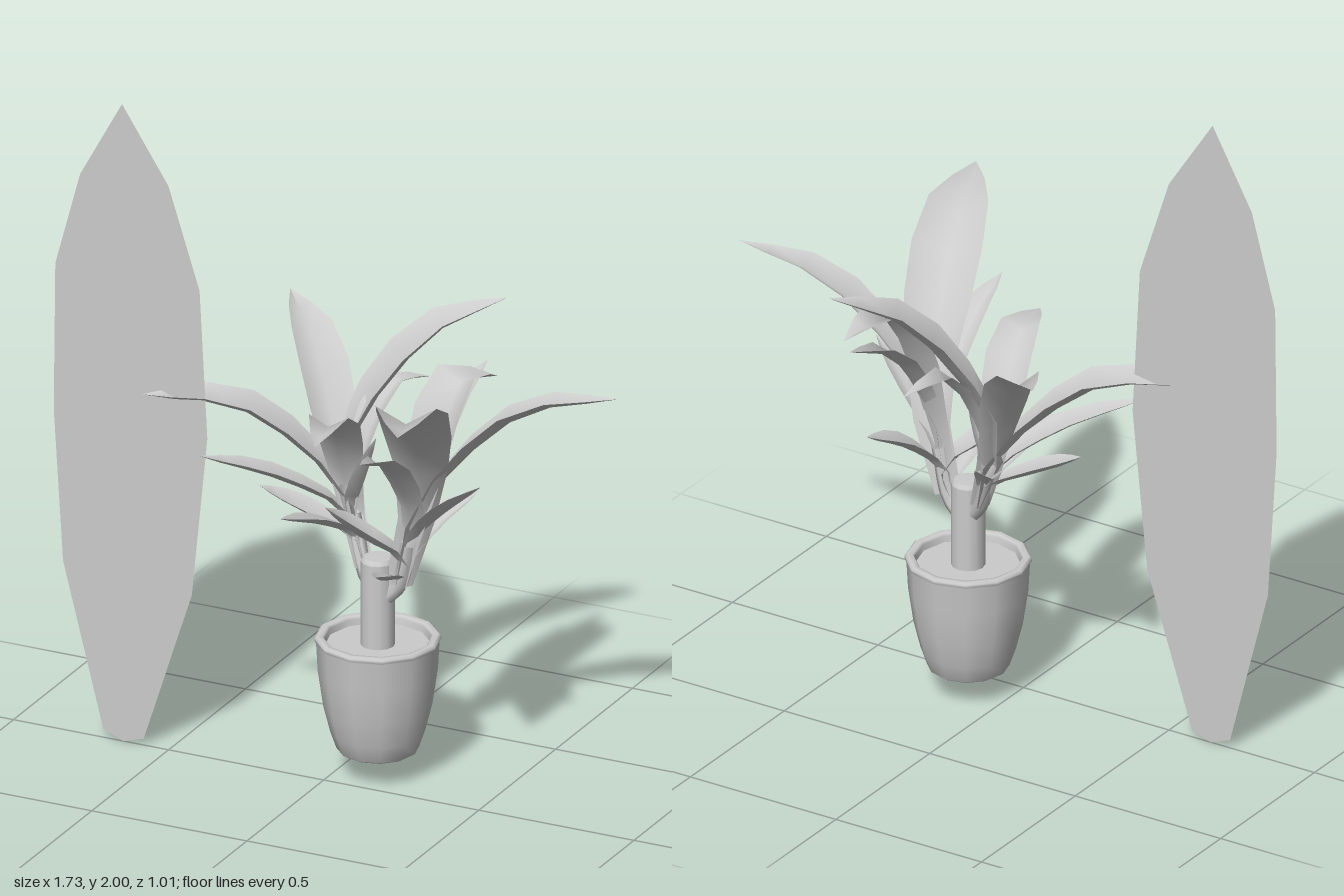
import * as THREE from 'three';

const V = (x, y, z) => new THREE.Vector3(x, y, z);
const solid = new THREE.MeshStandardMaterial({ color: 0xcccccc });
const thin = new THREE.MeshStandardMaterial({ color: 0xcccccc, side: THREE.DoubleSide });
const CX = 0.123, CZ = -0.104;

function add(parent, name, geometry, material = solid) {
  const mesh = new THREE.Mesh(geometry, material);
  mesh.name = name;
  parent.add(mesh);
  return mesh;
}

// Half-width of a leaf along its length, as [position, share of full width]
const OUTLINE = [[0, 0.38], [0.2, 0.52], [0.38, 0.74], [0.52, 0.94], [0.66, 1], [0.8, 0.84], [0.91, 0.46], [1, 0.01]];

// Arched blade: V-shaped cross-sections swept along a curve
function leafGeometry(base, crown, tip, width, lift) {
  const k = THREE.MathUtils.clamp((tip.y - 0.68) * 1.25, 0.06, 0.85);
  const hub = base.clone().lerp(crown, k);
  const mid = hub.clone().lerp(tip, 0.5);
  mid.y = hub.y + (tip.y - hub.y) * lift;
  const curve = new THREE.CatmullRomCurve3([base, hub, mid, tip]);
  const side = V(tip.z - hub.z, 0, hub.x - tip.x).normalize();
  const pos = [], index = [];
  OUTLINE.forEach(([t, w], i) => {
    const p = curve.getPointAt(t);
    const normal = curve.getTangentAt(t).cross(side).normalize();
    if (normal.y < 0) normal.negate();
    const half = w * width / 2;
    for (const s of [-1, 0, 1]) {
      const q = p.clone().addScaledVector(side, s * half)
        .addScaledVector(normal, s === 0 ? -half * 0.4 : half * 0.15);
      pos.push(q.x, q.y, q.z);
    }
    if (i === 0) return;
    for (let j = 0; j < 2; j++) {
      const a = (i - 1) * 3 + j, b = a + 3;
      index.push(a, b, a + 1, a + 1, b, b + 1);
    }
  });
  const g = new THREE.BufferGeometry();
  g.setAttribute('position', new THREE.Float32BufferAttribute(pos, 3));
  g.setIndex(index);
  g.computeVertexNormals();
  return g;
}

// A side shoot with its crown of leaves; leaves are [x, y, z, width, lift]
function shoot(name, base, crown, leaves) {
  const group = new THREE.Group();
  group.name = name;
  const root = V((base.x + CX) / 2, base.y - 0.04, (base.z + CZ) / 2);
  const stem = new THREE.CatmullRomCurve3([root, base, base.clone().lerp(crown, 0.4)]);
  add(group, 'stem', new THREE.TubeGeometry(stem, 6, 0.024, 6));
  for (const [x, y, z, width, lift = 0.78] of leaves)
    add(group, 'leaf', leafGeometry(base, crown, V(x, y, z), width, lift), thin);
  return group;
}

export function createModel() {
  const model = new THREE.Group();
  model.name = 'pottedPlant';

  // Flat upright leaf-shaped panel beside the plant
  const outline = [[-0.65, 2], [-0.785, 1.755], [-0.865, 1.46], [-0.87, 1], [-0.84, 0.53], [-0.71, 0.025],
    [-0.645, 0], [-0.58, 0.02], [-0.425, 0.5], [-0.375, 1], [-0.4, 1.46], [-0.5, 1.77]];
  add(model, 'flatPanel', new THREE.ShapeGeometry(new THREE.Shape(outline.map(p => new THREE.Vector2(...p)))), thin);

  // Pot with a rolled rim and a hollow top
  const profile = [[0, 0.08], [0.108, 0.08], [0.12, 0.088], [0.138, 0.14], [0.158, 0.22], [0.174, 0.33], [0.179, 0.42],
    [0.184, 0.425], [0.184, 0.434], [0.176, 0.44], [0.16, 0.438], [0.155, 0.43], [0.15, 0.39]];
  const pot = add(model, 'pot', new THREE.LatheGeometry(profile.map(p => new THREE.Vector2(...p)), 12));
  pot.position.set(CX, 0, CZ);

  const soil = add(model, 'soil', new THREE.CircleGeometry(0.155, 12));
  soil.rotation.x = -Math.PI / 2;
  soil.position.set(CX, 0.412, CZ);

  // Cut-off trunk with a softened top edge
  const trunkProfile = [[0.05, 0.4], [0.05, 0.672], [0.049, 0.674], [0.043, 0.685], [0.041, 0.686], [0, 0.686]];
  const trunk = add(model, 'trunk', new THREE.LatheGeometry(trunkProfile.map(p => new THREE.Vector2(...p)), 12));
  trunk.position.set(CX, 0, CZ);

  // Two leafy shoots
  model.add(shoot('rightShoot', V(0.065, 0.63, -0.13), V(-0.07, 0.99, -0.225), [
    [0.34, 1.385, -0.51, 0.17, 0.82],
    [-0.36, 1.28, -0.51, 0.15, 0.82],
    [-0.565, 1.12, 0.04, 0.15, 0.96],
    [-0.35, 0.99, 0.1, 0.1, 0.7],
    [0.065, 1.13, 0.19, 0.14, 1.05],
    [-0.25, 0.85, -0.08, 0.1, 0.6],
    [0.11, 1.11, -0.47, 0.1, 1.1],
    [0.09, 1.03, -0.16, 0.09, 0.6],
    [-0.07, 0.86, 0.14, 0.08, 0.7],
    [-0.1, 0.84, -0.32, 0.08, 0.75],
  ]));
  model.add(shoot('leftShoot', V(0.195, 0.61, -0.095), V(0.29, 0.97, -0.07), [
    [0.86, 1.29, -0.18, 0.125, 0.84],
    [0.485, 1.358, 0.5, 0.21, 0.9],
    [0.365, 1.19, -0.39, 0.18, 1.14],
    [0.5, 1.01, -0.01, 0.09, 0.62],
    [0.26, 1.15, 0.29, 0.1, 0.8],
    [0.03, 0.88, 0.05, 0.12, 0.55],
    [0.22, 0.72, 0.11, 0.07, 0.6],
    [0.34, 0.85, -0.31, 0.1, 0.75],
    [0.3, 1.2, -0.46, 0.1, 0.8],
  ]));
  return model;
}
